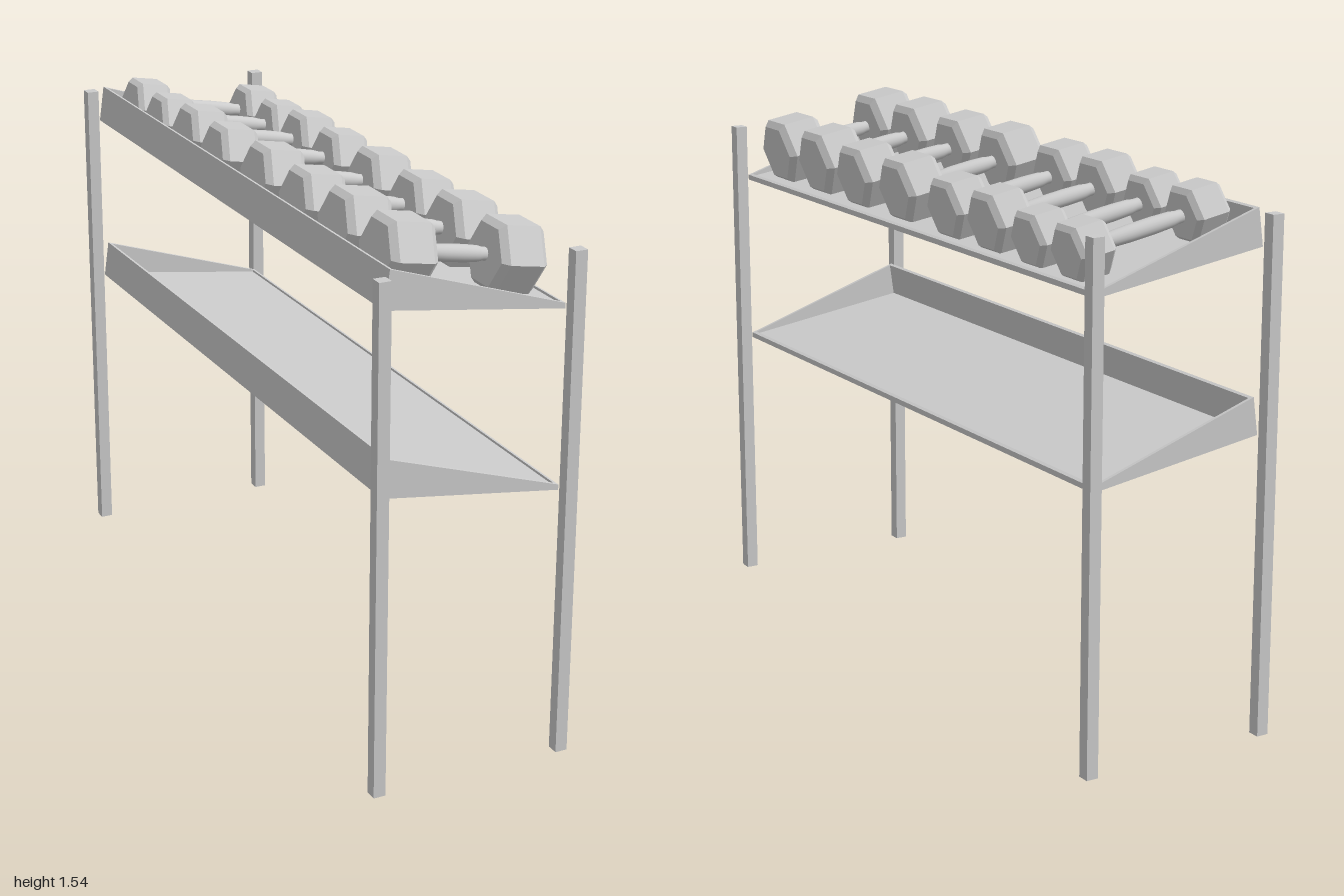
import * as THREE from 'three';

const grey = new THREE.MeshStandardMaterial({ color: 0xcccccc });
const greyFlat = new THREE.MeshStandardMaterial({ color: 0xcccccc, flatShading: true });

function addMesh(parent, name, geometry, material = grey) {
  const mesh = new THREE.Mesh(geometry, material);
  mesh.name = name;
  parent.add(mesh);
  return mesh;
}

// Extrude an xy outline along z, from z0 to z1
function slab(points, z0, z1) {
  const shape = new THREE.Shape(points.map(([x, y]) => new THREE.Vector2(x, y)));
  const geometry = new THREE.ExtrudeGeometry(shape, { depth: z1 - z0, bevelEnabled: false });
  return geometry.translate(0, 0, z0);
}

// Turned shape lying along x
function turned(points, sides) {
  const profile = points.map(([r, h]) => new THREE.Vector2(r, h));
  return new THREE.LatheGeometry(profile, sides).rotateZ(-Math.PI / 2);
}

// Sloping tray: floor, tall wall on the high side, low lip, wedge-shaped ends
function createShelf(y) {
  const shelf = new THREE.Group();
  shelf.name = 'shelf';
  const end = 0.96, t = 0.01, inner = end - t;
  addMesh(shelf, 'shelfFloor', slab([[-0.26, 0], [0.26, -0.075], [0.26, -0.065], [-0.2586, 0.01]], -inner, inner));
  addMesh(shelf, 'shelfHighWall', slab([[-0.2586, 0.01], [-0.2486, 0.0086], [-0.235, 0.102], [-0.245, 0.105]], -inner, inner));
  addMesh(shelf, 'shelfLip', slab([[0.25, -0.0636], [0.26, -0.065], [0.26, -0.06], [0.25, -0.0567]], -inner, inner));
  const wedge = [[-0.26, 0], [0.26, -0.075], [0.26, -0.06], [-0.245, 0.105]];
  addMesh(shelf, 'shelfEnd', slab(wedge, inner, end));
  addMesh(shelf, 'shelfEnd', slab(wedge, -end, -inner));
  shelf.position.y = y;
  return shelf;
}

// Hexagonal-headed dumbbell along x
function createDumbbell(radius, length, halfSpacing) {
  const dumbbell = new THREE.Group();
  dumbbell.name = 'dumbbell';
  const h = length / 2, bevel = radius * 0.17;
  const headGeometry = turned([
    [0, -h], [radius - bevel, -h], [radius, -h + bevel],
    [radius, h - bevel], [radius - bevel, h], [0, h],
  ], 6);
  for (const side of [-1, 1]) {
    addMesh(dumbbell, 'dumbbellHead', headGeometry, greyFlat).position.x = side * halfSpacing;
  }
  // Grip swells gently between narrower ends
  const g = halfSpacing - h + 0.005;
  addMesh(dumbbell, 'dumbbellGrip', turned([
    [0.018, -g], [0.018, -g * 0.85], [0.0215, -g * 0.7], [0.0235, -g * 0.3],
    [0.0235, g * 0.3], [0.0215, g * 0.7], [0.018, g * 0.85], [0.018, g],
  ], 20));
  return dumbbell;
}

export function createModel() {
  const rack = new THREE.Group();
  rack.name = 'dumbbellRack';

  // Corner posts
  const height = 1.435;
  for (const x of [-0.2775, 0.2775]) {
    for (const z of [-0.9825, 0.9825]) {
      addMesh(rack, 'post', new THREE.BoxGeometry(0.035, height, 0.035)).position.set(x, height / 2, z);
    }
  }

  rack.add(createShelf(0.84), createShelf(1.345));

  // Dumbbells on the upper shelf: z, head radius, head length, half spacing
  const sizes = [
    [0.815, 0.106, 0.135, 0.16], [0.577, 0.106, 0.135, 0.16],
    [0.338, 0.101, 0.125, 0.167], [0.087, 0.101, 0.125, 0.167],
    [-0.185, 0.094, 0.115, 0.176], [-0.397, 0.094, 0.115, 0.176],
    [-0.61, 0.084, 0.108, 0.181], [-0.8, 0.084, 0.108, 0.181],
  ];
  for (const [z, radius, length, halfSpacing] of sizes) {
    const dumbbell = createDumbbell(radius, length, halfSpacing);
    dumbbell.position.set(0.011, 1.318 + radius * 0.88, z);
    dumbbell.rotation.z = -0.17;
    rack.add(dumbbell);
  }
  return rack;
}
